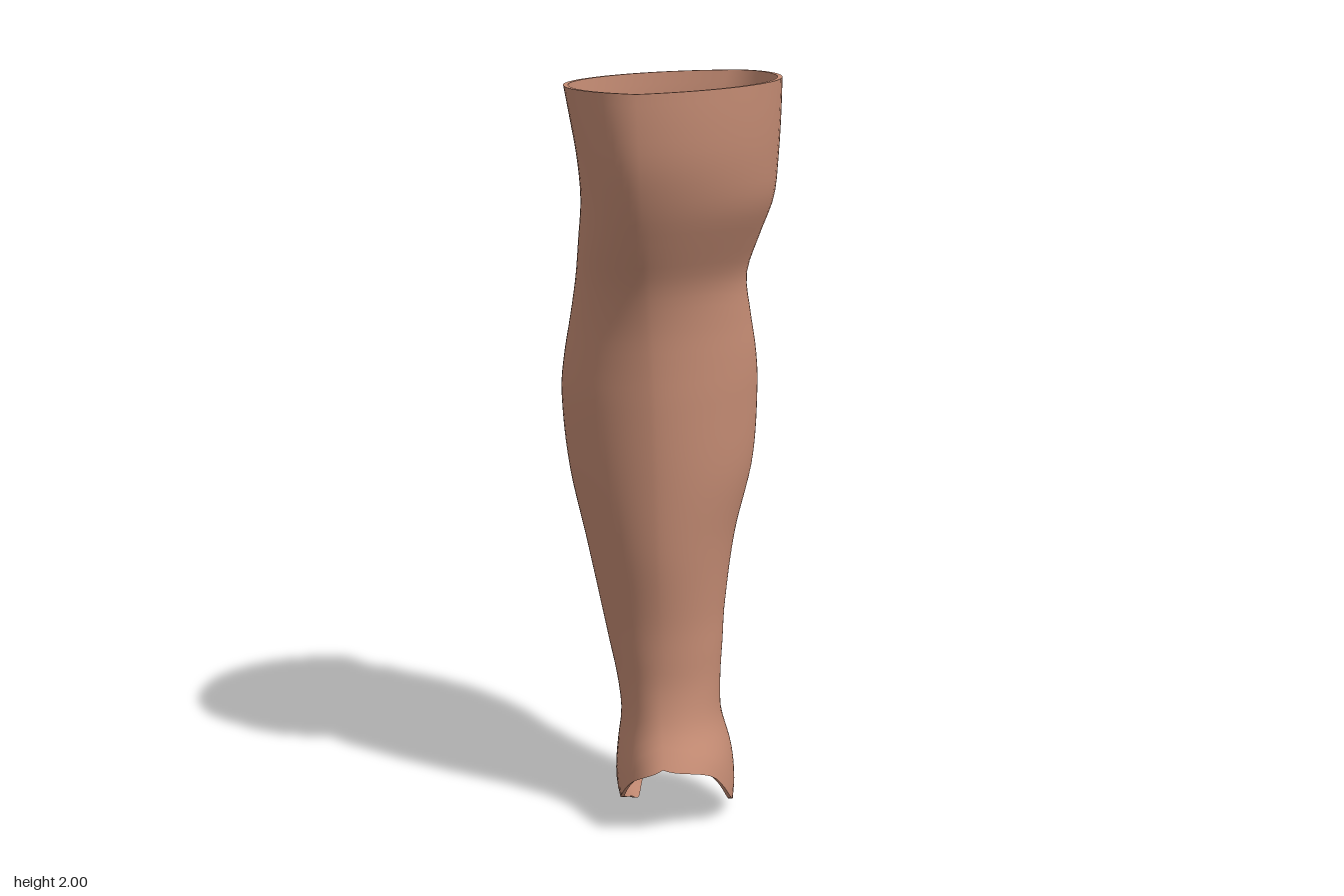
import * as THREE from 'three';

// Outline extremes by height: y, right (-x), left (+x), front (+z), back (-z)
const EXTENTS = [
  [0.0, -0.11, 0.168, 0.17, -0.25],
  [0.06, -0.142, 0.174, 0.165, -0.272],
  [0.12, -0.151, 0.175, 0.16, -0.28],
  [0.2, -0.146, 0.165, 0.147, -0.262],
  [0.3, -0.135, 0.138, 0.095, -0.242],
  [0.4, -0.145, 0.135, 0.076, -0.24],
  [0.5, -0.165, 0.14, 0.08, -0.25],
  [0.6, -0.185, 0.145, 0.091, -0.27],
  [0.8, -0.225, 0.17, 0.13, -0.315],
  [1.0, -0.265, 0.215, 0.158, -0.355],
  [1.2, -0.28, 0.226, 0.18, -0.366],
  [1.3, -0.27, 0.22, 0.19, -0.36],
  [1.4, -0.252, 0.205, 0.205, -0.345],
  [1.5, -0.236, 0.195, 0.235, -0.32],
  [1.6, -0.225, 0.225, 0.285, -0.29],
  [1.7, -0.215, 0.26, 0.33, -0.26],
  [1.8, -0.22, 0.27, 0.36, -0.215],
  [1.9, -0.235, 0.275, 0.37, -0.183],
  [2.0, -0.252, 0.277, 0.37, -0.183],
];
// Where those extremes lie: y, front x, left z, back x, right z, shin flatness
const LAYOUT = [
  [0.0, 0.0, -0.09, 0.01, -0.12, 1],
  [0.2, -0.01, -0.08, 0.02, -0.11, 1],
  [0.4, -0.02, -0.08, 0.02, -0.09, 1.05],
  [0.8, -0.03, -0.1, 0.0, -0.08, 1.15],
  [1.2, -0.04, -0.12, 0.0, -0.04, 1.2],
  [1.5, -0.05, -0.06, 0.03, 0.0, 1.2],
  [1.7, -0.05, 0.0, 0.08, 0.06, 1.1],
  [2.0, -0.06, 0.0, 0.14, 0.12, 1],
];
// Edge heights around the leg: turn (0 front, 1 left, 2 back, 3 right), y
const LOWER_EDGE = [
  [0, 0.215], [0.5, 0.175], [0.8, 0.075], [1, 0.035], [1.25, 0.03], [1.5, 0.09],
  [1.75, 0.12], [2, 0.12], [2.3, 0.09], [2.55, 0.03], [2.8, 0], [3, 0.02],
  [3.3, 0.08], [3.6, 0.165], [4, 0.215],
];
const UPPER_EDGE = [[0, 1.97], [1, 1.992], [2, 2], [3, 1.98], [4, 1.97]];

const AROUND = 72, UP = 64, WALL = 0.012;

// Smooth interpolation of every column of a table keyed on its first column
function sample(table, key) {
  const last = table.length - 1;
  let i = 0;
  while (i < last - 1 && key > table[i + 1][0]) i++;
  const a = table[i], b = table[i + 1], h = b[0] - a[0];
  const t = THREE.MathUtils.clamp((key - a[0]) / h, 0, 1);
  const before = table[Math.max(i - 1, 0)], after = table[Math.min(i + 2, last)];
  return a.slice(1).map((_, n) => {
    const c = n + 1;
    const m0 = (b[c] - before[c]) / (b[0] - before[0]) * h;
    const m1 = (after[c] - a[c]) / (after[0] - a[0]) * h;
    const t2 = t * t, t3 = t2 * t;
    return (2 * t3 - 3 * t2 + 1) * a[c] + (t3 - 2 * t2 + t) * m0
      + (3 * t2 - 2 * t3) * b[c] + (t3 - t2) * m1;
  });
}

// Point on the leg; each quarter of the section is an elliptical arc
function legPoint(turn, y, inset) {
  const [right, left, front, back] = sample(EXTENTS, y);
  const [frontX, leftZ, backX, rightZ, flat] = sample(LAYOUT, y);
  const ends = [
    [frontX, front - inset], [left - inset, leftZ],
    [backX, back + inset], [right + inset, rightZ],
  ];
  const q = Math.min(Math.floor(turn), 3), angle = (turn - q) * Math.PI / 2;
  const power = q === 0 ? flat : 1;
  const s = Math.pow(Math.max(Math.sin(angle), 0), power);
  const c = Math.pow(Math.max(Math.cos(angle), 0), power);
  const from = ends[q], to = ends[(q + 1) % 4];
  const x = q % 2 === 0 ? from[0] + (to[0] - from[0]) * s : to[0] + (from[0] - to[0]) * c;
  const z = q % 2 === 0 ? to[1] + (from[1] - to[1]) * c : from[1] + (to[1] - from[1]) * s;
  return [x, y, z];
}

// Closed ring at a fraction of the way from the lower to the upper edge
function ring(fraction, inset) {
  const points = [];
  for (let i = 0; i < AROUND; i++) {
    const turn = i / AROUND * 4;
    const low = sample(LOWER_EDGE, turn)[0], high = sample(UPPER_EDGE, turn)[0];
    points.push(legPoint(turn, Math.max(0, low + (high - low) * fraction), inset));
  }
  return points;
}

// Skin a list of rings
function loft(name, rings, material) {
  const index = [];
  for (let j = 0; j < rings.length - 1; j++) {
    for (let i = 0; i < AROUND; i++) {
      const k = (i + 1) % AROUND;
      const a = j * AROUND + i, b = j * AROUND + k;
      index.push(a, b, b + AROUND, a, b + AROUND, a + AROUND);
    }
  }
  const geometry = new THREE.BufferGeometry();
  geometry.setAttribute('position', new THREE.Float32BufferAttribute(rings.flat(2), 3));
  geometry.setIndex(index);
  geometry.computeVertexNormals();
  const mesh = new THREE.Mesh(geometry, material);
  mesh.name = name;
  return mesh;
}

export function createModel() {
  const skin = new THREE.MeshStandardMaterial({ color: 0xc58c74 });
  skin.name = 'skin';
  const outer = [], inner = [];
  for (let j = 0; j <= UP; j++) {
    outer.push(ring(j / UP, 0));
    inner.unshift(ring(j / UP, WALL));
  }
  const leg = new THREE.Group();
  leg.name = 'lowerLegShell';
  leg.add(
    loft('outerSkin', outer, skin),
    loft('kneeRim', [outer[UP], inner[0]], skin),
    loft('innerSkin', inner, skin),
    loft('ankleRim', [inner[UP], outer[0]], skin),
  );
  return leg;
}
